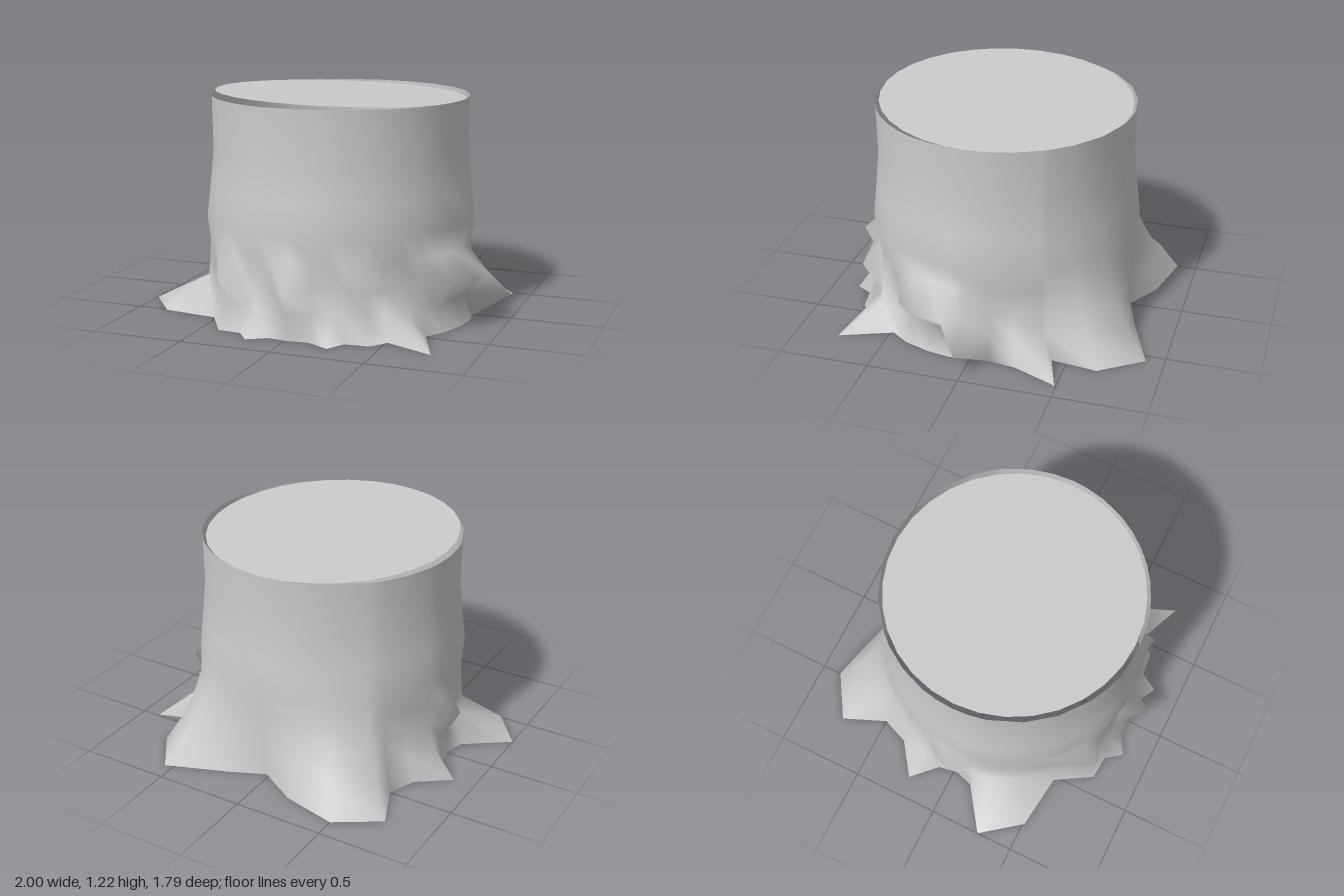
import * as THREE from 'three';

// Ground outline of the roots, from the front round through -x: [x, z, height the root flares up to]
const roots = [
  [0.02, 0.80, 0.3], [-0.1, 0.79, 0.3], [-0.2, 0.85, 0.25], [-0.27, 0.76, 0.3], [-0.40, 0.75, 0.35],
  [-0.52, 0.55, 0.3], [-0.83, 0.51, 0.2], [-1.0, 0.29, 0.2], [-0.76, 0.12, 0.3], [-0.73, 0.02, 0.3],
  [-0.75, -0.09, 0.3], [-0.88, -0.22, 0.3], [-0.70, -0.35, 0.4], [-0.64, -0.5, 0.5], [-0.74, -0.74, 0.6],
  [-0.5, -0.89, 0.65], [-0.2, -0.82, 0.6], [0.02, -0.69, 0.5], [0.2, -0.77, 0.6], [0.55, -0.90, 0.65],
  [0.71, -0.67, 0.6], [0.68, -0.42, 0.4], [0.9, -0.49, 0.3], [0.80, -0.25, 0.3], [0.78, -0.1, 0.3],
  [0.79, 0.02, 0.3], [0.80, 0.11, 0.3], [0.78, 0.24, 0.3], [0.73, 0.38, 0.3], [0.66, 0.48, 0.3],
  [0.77, 0.76, 0.25], [0.51, 0.65, 0.3], [0.44, 0.74, 0.3], [0.31, 0.75, 0.3], [0.25, 0.85, 0.25], [0.13, 0.79, 0.3],
];
const heights = [0, 0.14, 0.27, 0.4, 0.53, 0.7, 0.9, 1.19];
const trunkRadius = [0.72, 0.725, 0.735, 0.73, 0.745, 0.725, 0.705, 0.71];
// Raised knobs in the bark: [column, ring, radius]
const knobs = [
  [0, 2, 0.87], [0, 1, 0.81], [25, 1, 0.98], [26, 2, 0.89], [27, 2, 0.89], [28, 2, 0.84], [25, 2, 0.84],
  [9, 2, 0.81], [10, 2, 0.79], [4, 2, 0.84], [32, 2, 0.83], [26, 4, 0.77], [25, 4, 0.77],
];
const centre = 0.02;

function trunkGeometry() {
  const n = roots.length, positions = [], index = [];
  heights.forEach((y, ring) => {
    roots.forEach(([x, z, flare], column) => {
      const dx = x - centre, dz = z - centre, reach = Math.hypot(dx, dz);
      const knob = knobs.find((k) => k[0] === column && k[1] === ring);
      const weight = Math.max(0, 1 - y / flare) ** 2;
      const r = knob ? knob[2] : THREE.MathUtils.lerp(trunkRadius[ring], reach, weight);
      positions.push(centre + dx / reach * r, y, centre + dz / reach * r);
      if (ring === 0) return;
      const c = ring * n + column, d = ring * n + (column + 1) % n;
      index.push(c, c - n, d, d, c - n, d - n);
    });
  });
  // Outline runs clockwise from above, so flip each face to point outward
  for (let i = 0; i < index.length; i += 3) [index[i + 1], index[i + 2]] = [index[i + 2], index[i + 1]];
  const geometry = new THREE.BufferGeometry();
  geometry.setAttribute('position', new THREE.Float32BufferAttribute(positions, 3));
  geometry.setIndex(index);
  geometry.computeVertexNormals();
  return geometry;
}

export function createModel() {
  const group = new THREE.Group();
  group.name = 'treeStump';
  const material = new THREE.MeshStandardMaterial({ color: 0xcccccc, side: THREE.DoubleSide });

  // Open bark shell with flaring roots
  const trunk = new THREE.Mesh(trunkGeometry(), material);
  trunk.name = 'trunk';

  // Cut face, slightly tilted up towards the front and -x
  const disc = new THREE.CircleGeometry(0.69, 32).rotateX(-Math.PI / 2);
  const p = disc.attributes.position;
  for (let i = 0; i < p.count; i++) p.setY(i, 1.195 + 0.025 * (p.getZ(i) - p.getX(i)));
  disc.computeVertexNormals();
  const cutFace = new THREE.Mesh(disc, material);
  cutFace.name = 'cutFace';
  cutFace.position.set(centre, 0, centre);

  group.add(trunk, cutFace);
  return group;
}
